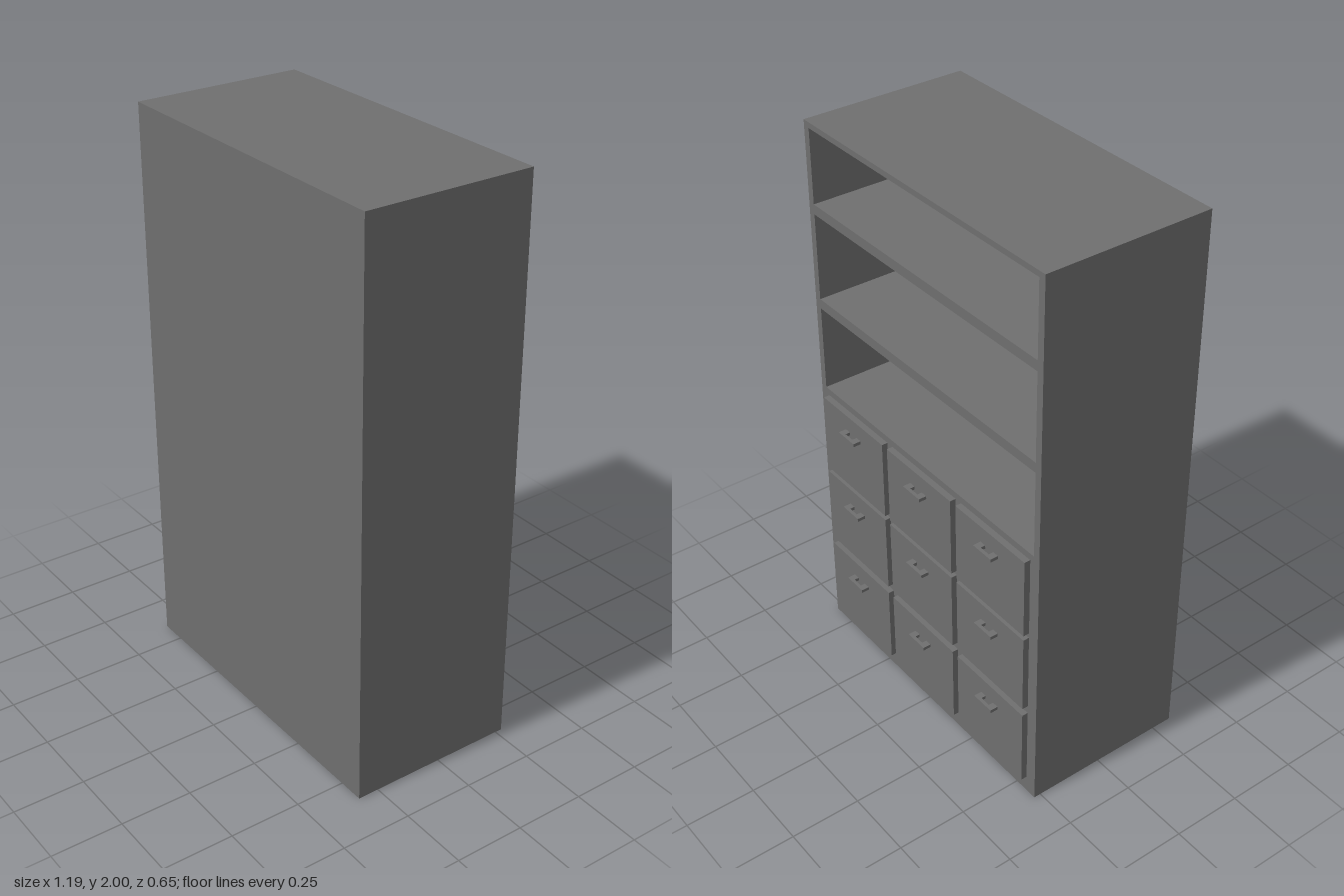
import * as THREE from 'three';

const material = new THREE.MeshStandardMaterial({ color: 0x6f6f6f, flatShading: true });

// Box given by its lower and upper limits on each axis
function box(parent, name, [x0, x1], [y0, y1], [z0, z1]) {
  const mesh = new THREE.Mesh(new THREE.BoxGeometry(x1 - x0, y1 - y0, z1 - z0), material);
  mesh.position.set((x0 + x1) / 2, (y0 + y1) / 2, (z0 + z1) / 2);
  mesh.name = name;
  parent.add(mesh);
}

export function createModel() {
  const model = new THREE.Group();
  model.name = 'cabinet';
  const W = 0.593, inner = 0.567, open = -0.275, wall = 0.325, backInner = 0.24;

  // Carcass: closed towards +z, open shelves and drawers towards -z
  box(model, 'leftSide', [inner, W], [0, 2], [open, wall]);
  box(model, 'rightSide', [-W, -inner], [0, 2], [open, wall]);
  box(model, 'topPanel', [-inner, inner], [1.98, 2], [open, wall]);
  box(model, 'backPanel', [-inner, inner], [1.02, 1.98], [backInner, wall]);
  box(model, 'drawerCase', [-inner, inner], [0, 1.02], [open, wall]);

  // Open shelves above the drawer case
  for (const top of [1.368, 1.717]) {
    box(model, 'shelf', [-inner, inner], [top - 0.036, top], [open, backInner]);
  }

  // Three by three drawers: front plate and a flat U-shaped handle
  const rows = [[0.062, 0.357, 0.289], [0.387, 0.682, 0.612], [0.7, 0.995, 0.93]];
  for (const [y0, y1, grip] of rows) {
    for (const x of [-0.376, 0, 0.376]) {
      const drawer = new THREE.Group();
      drawer.name = 'drawer';
      drawer.position.x = x;
      box(drawer, 'drawerFront', [-0.174, 0.174], [y0, y1], [-0.297, open]);
      const thick = [grip - 0.006, grip + 0.006];
      box(drawer, 'handleBar', [-0.044, 0.044], thick, [-0.326, -0.314]);
      box(drawer, 'handleLeg', [-0.044, -0.02], thick, [-0.314, -0.297]);
      box(drawer, 'handleLeg', [0.02, 0.044], thick, [-0.314, -0.297]);
      model.add(drawer);
    }
  }
  return model;
}
